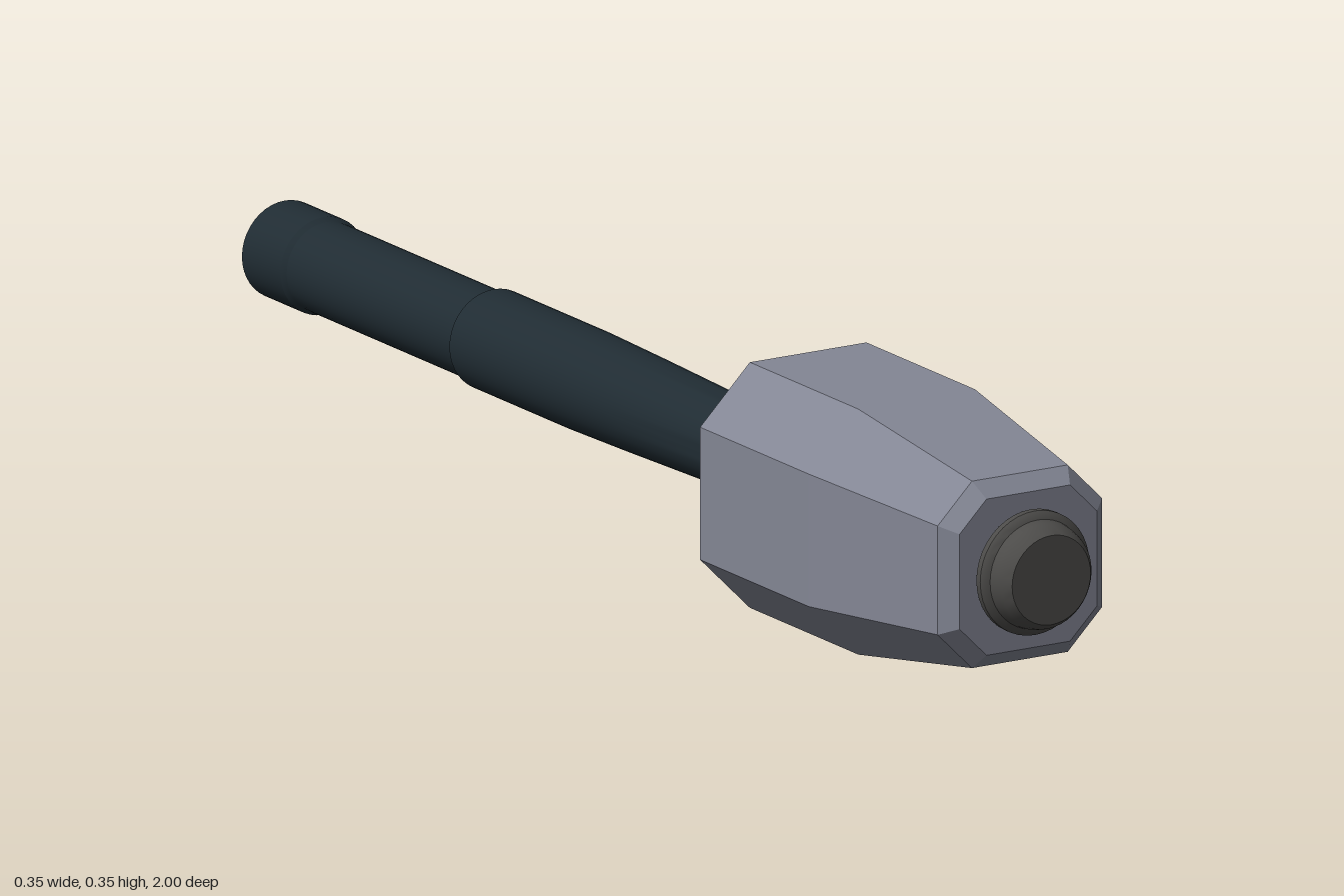
import * as THREE from 'three';
import { toCreasedNormals } from 'three/addons/utils/BufferGeometryUtils.js';

const AXIS_Y = 0.176;

// Turned part along z; the profile lists [radius, z] from back to front
function turned(name, profile, material) {
  const points = profile.map(([r, z]) => new THREE.Vector2(r, z));
  const geometry = new THREE.LatheGeometry(points, 40).rotateX(Math.PI / 2);
  const mesh = new THREE.Mesh(toCreasedNormals(geometry, 0.5), material);
  mesh.name = name;
  return mesh;
}

// Octagonal solid; each section is [z, half width, half length of the flat sides]
function octagonLoft(sections) {
  const positions = [];
  const rings = sections.map(([z, h, f]) =>
    [[h, -f], [h, f], [f, h], [-f, h], [-h, f], [-h, -f], [-f, -h], [f, -h]]
      .map(([x, y]) => [x, y, z]));
  const tri = (a, b, c) => positions.push(...a, ...b, ...c);
  for (let s = 0; s < rings.length - 1; s++) {
    for (let i = 0; i < 8; i++) {
      const j = (i + 1) % 8;
      const [a, b, c, d] = [rings[s][i], rings[s][j], rings[s + 1][j], rings[s + 1][i]];
      tri(a, b, c);
      tri(a, c, d);
    }
  }
  // End caps
  const back = rings[0], front = rings[rings.length - 1];
  for (let i = 1; i < 7; i++) {
    tri(back[0], back[i + 1], back[i]);
    tri(front[0], front[i], front[i + 1]);
  }
  const geometry = new THREE.BufferGeometry();
  geometry.setAttribute('position', new THREE.Float32BufferAttribute(positions, 3));
  geometry.computeVertexNormals();
  return geometry;
}

export function createModel() {
  const steel = new THREE.MeshStandardMaterial({ name: 'grey steel', color: 0x838694 });
  const iron = new THREE.MeshStandardMaterial({ name: 'dark iron', color: 0x4c4b49 });
  const grip = new THREE.MeshStandardMaterial({ name: 'blue black grip', color: 0x202c33 });

  const model = new THREE.Group();
  model.name = 'mace';
  const body = new THREE.Group();
  body.name = 'body';
  body.position.y = AXIS_Y;
  model.add(body);

  // Heavy octagonal head, tapering to the front
  const head = new THREE.Mesh(octagonLoft([
    [0.35, 0.16, 0.088], [0.368, 0.176, 0.095], [0.65, 0.176, 0.095],
    [0.918, 0.134, 0.078], [0.94, 0.112, 0.068],
  ]), steel);
  head.name = 'head';
  body.add(head);

  // Rounded stud on the front of the head
  body.add(turned('frontStud', [
    [0, 0.93], [0.084, 0.93], [0.084, 0.943], [0.089, 0.947], [0.089, 0.957],
    [0.085, 0.962], [0.078, 0.965], [0.076, 0.978], [0.073, 0.988], [0.064, 1], [0, 1],
  ], iron));

  // Stepped collar behind the head
  body.add(turned('collar', [
    [0, 0.272], [0.066, 0.272], [0.071, 0.277], [0.071, 0.295],
    [0.083, 0.298], [0.087, 0.303], [0.087, 0.32],
    [0.098, 0.324], [0.101, 0.329], [0.101, 0.337],
    [0.112, 0.344], [0.112, 0.36], [0, 0.36],
  ], iron));

  // Tapered front half of the handle
  body.add(turned('foreHandle', [
    [0, -0.455], [0.067, -0.455], [0.072, -0.449], [0.072, -0.2],
    [0.069, -0.05], [0.061, 0.26], [0.061, 0.3], [0, 0.3],
  ], grip));

  // Straight rear half of the handle
  body.add(turned('rearHandle', [
    [0, -0.9], [0.065, -0.9], [0.065, -0.44], [0, -0.44],
  ], grip));

  // Pommel cap at the rear end
  body.add(turned('pommel', [
    [0, -1], [0.062, -1], [0.07, -0.991], [0.07, -0.891], [0.065, -0.883], [0, -0.883],
  ], grip));

  return model;
}
